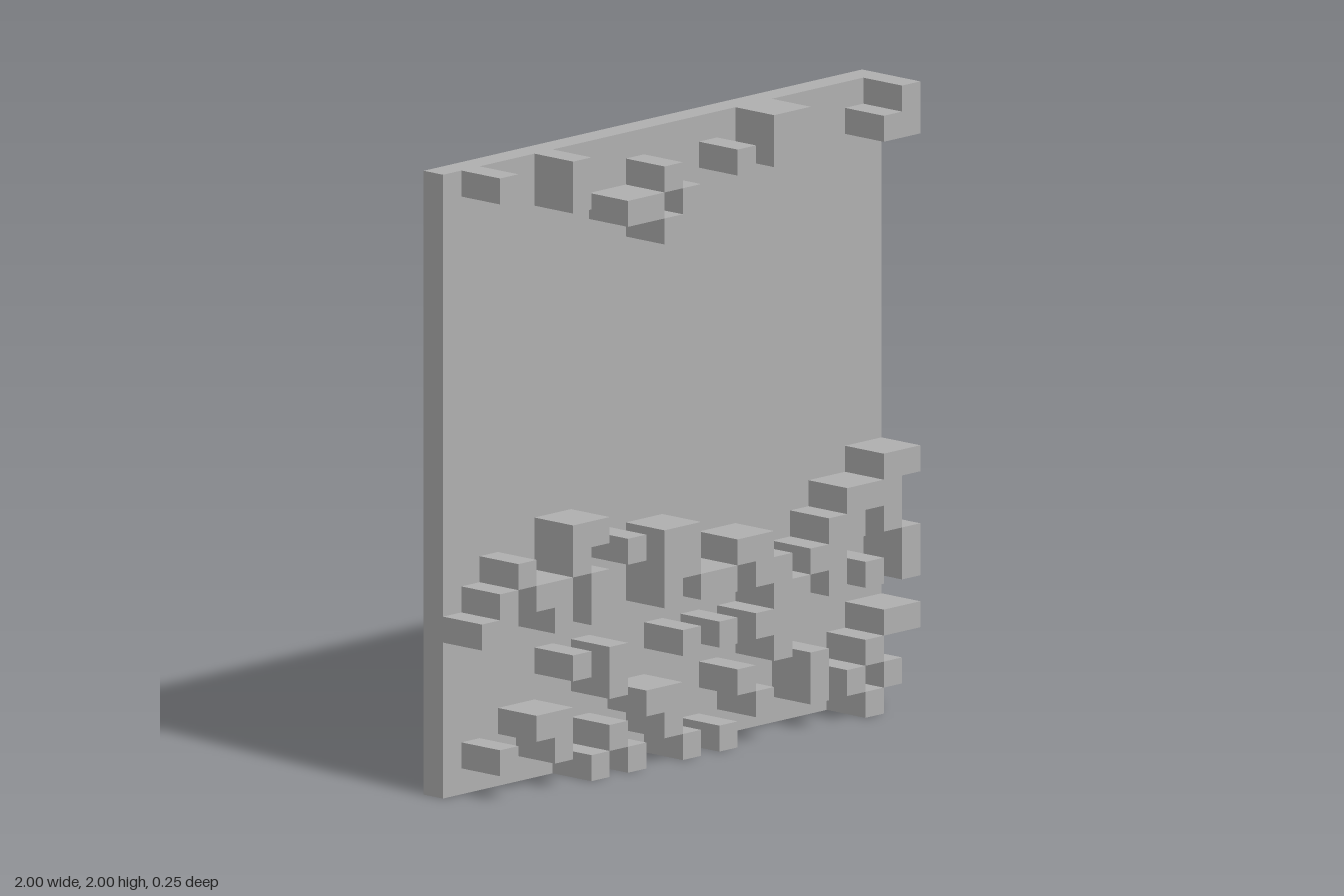
import * as THREE from 'three';

const N = 24;          // cells per side
const CELL = 2 / N;    // cell size
const DEPTH = 3 * CELL; // panel is one cell thick, studs add two

// Raised cells: row number from the bottom, then runs of [first column, length]
const LOWER_ROWS = {
  9: [[5, 2], [22, 2]],
  8: [[2, 1], [5, 1], [8, 1], [10, 2], [20, 3]],
  7: [[1, 1], [3, 2], [6, 1], [10, 2], [14, 2], [19, 2], [22, 1]],
  6: [[0, 2], [4, 1], [6, 1], [10, 1], [12, 2], [15, 2], [18, 2], [23, 1]],
  5: [[16, 2], [19, 1], [21, 1], [23, 1]],
  4: [[5, 1], [7, 1], [11, 1], [13, 1], [15, 2]],
  3: [[7, 1], [16, 1], [22, 2]],
  2: [[3, 2], [9, 2], [14, 1], [18, 1], [21, 1]],
  1: [[1, 1], [4, 1], [7, 1], [10, 1], [15, 1], [18, 1], [20, 1], [22, 1]],
  0: [[6, 1], [8, 1], [11, 1], [13, 1], [21, 1]],
};
const UPPER_ROWS = {
  23: [[1, 1], [5, 1], [16, 2], [23, 1]],
  22: [[5, 1], [10, 1], [14, 1], [16, 1], [22, 2]],
  21: [[8, 2], [11, 1]],
  20: [[10, 1]],
};

// One box per run of raised cells, standing on the front of the panel
function makeStuds(name, rows, material) {
  const group = new THREE.Group();
  group.name = name;
  for (const [row, runs] of Object.entries(rows)) {
    for (const [col, length] of runs) {
      const stud = new THREE.Mesh(
        new THREE.BoxGeometry(length * CELL, CELL, 2 * CELL), material);
      stud.name = 'stud';
      stud.position.set(
        -1 + (col + length / 2) * CELL,
        (Number(row) + 0.5) * CELL,
        DEPTH / 2 - CELL);
      group.add(stud);
    }
  }
  return group;
}

export function createModel() {
  const grey = new THREE.MeshStandardMaterial({ color: 0xb0b0b0 });
  grey.name = 'grey';

  const model = new THREE.Group();
  model.name = 'blockWall';

  // Back panel
  const panel = new THREE.Mesh(new THREE.BoxGeometry(2, 2, CELL), grey);
  panel.name = 'backPanel';
  panel.position.set(0, 1, -DEPTH / 2 + CELL / 2);
  model.add(panel);

  // Raised blocks along the bottom and the top
  model.add(makeStuds('lowerBlocks', LOWER_ROWS, grey));
  model.add(makeStuds('upperBlocks', UPPER_ROWS, grey));
  return model;
}
